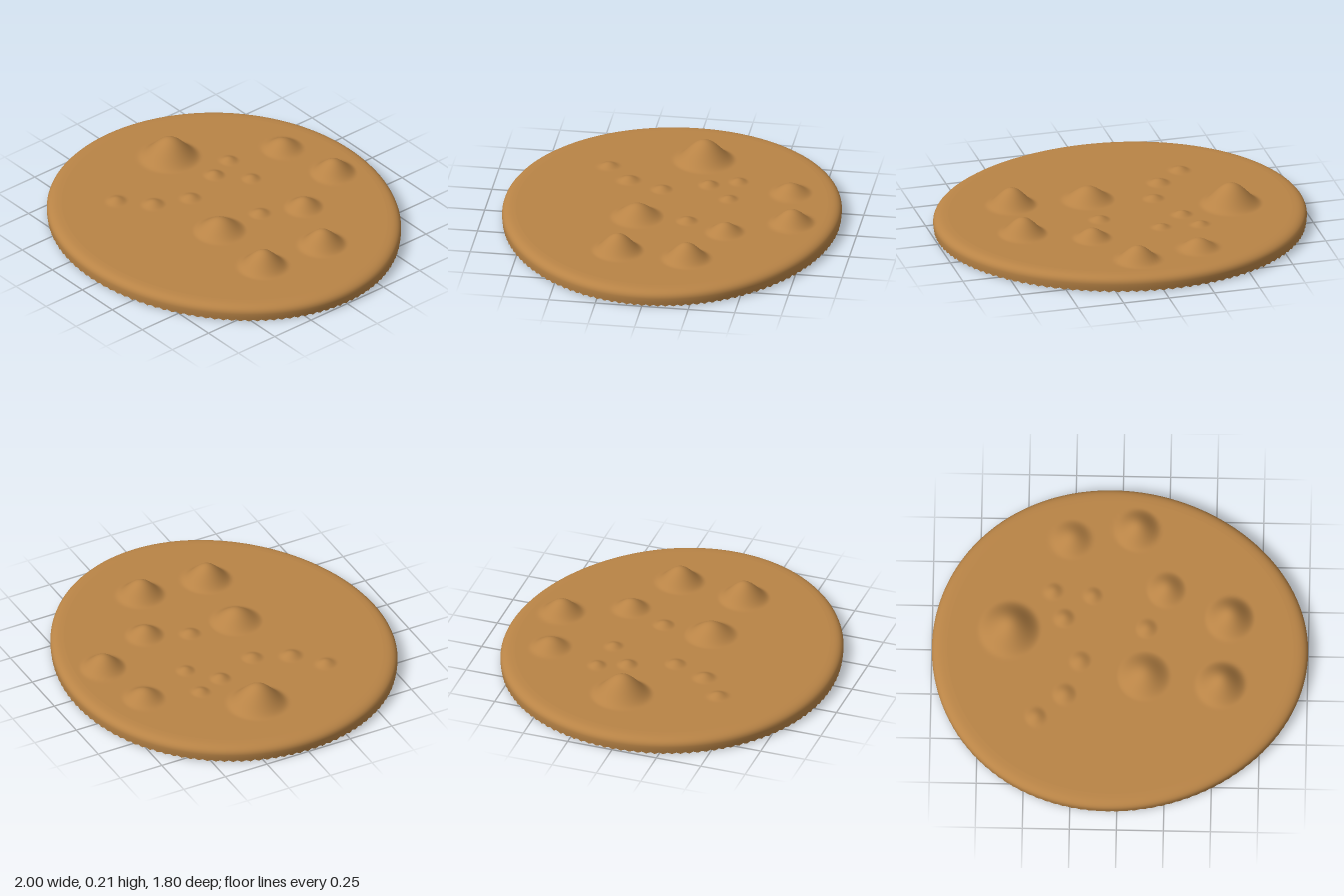
import * as THREE from 'three';

const SEGMENTS = 256;
const TOP_Y = 0.09;

// Mounds on the top: x, z, radius, height
const MOUNDS = [
  [-0.59, -0.09, 0.17, 0.118],
  [-0.27, -0.605, 0.118, 0.055],
  [0.08, -0.665, 0.128, 0.079],
  [0.24, -0.33, 0.108, 0.055],
  [0.58, -0.175, 0.135, 0.091],
  [0.54, 0.2, 0.14, 0.098],
  [0.13, 0.16, 0.146, 0.075],
  [-0.36, -0.31, 0.055, 0.019],
  [-0.15, -0.29, 0.055, 0.018],
  [-0.3, -0.16, 0.06, 0.022],
  [0.14, -0.11, 0.062, 0.02],
  [-0.21, 0.08, 0.062, 0.019],
  [-0.29, 0.27, 0.068, 0.023],
  [-0.44, 0.4, 0.062, 0.021],
];

function topHeight(x, z) {
  let y = TOP_Y;
  for (const [mx, mz, r, h] of MOUNDS) {
    const t = ((x - mx) ** 2 + (z - mz) ** 2) / (r * r);
    if (t < 1) y += h * (1 - t) ** 2;
  }
  return y;
}

// Slightly egg-shaped outline, narrower toward +x
function outline(angle, s) {
  const c = Math.cos(angle);
  return [s * c, s * 0.9 * Math.sin(angle) * (1 - 0.05 * s * c)];
}

// Closed rings of points joined into one smooth surface, from the inside out and down
function ringSurface(rows, pointAt) {
  const positions = [];
  const index = [];
  for (let i = 0; i < rows; i++) {
    for (let j = 0; j < SEGMENTS; j++) {
      positions.push(...pointAt(i, j, (j / SEGMENTS) * Math.PI * 2));
    }
  }
  for (let i = 0; i < rows - 1; i++) {
    for (let j = 0; j < SEGMENTS; j++) {
      const k = (j + 1) % SEGMENTS;
      const a = i * SEGMENTS + j;
      const b = i * SEGMENTS + k;
      const c = a + SEGMENTS;
      const d = b + SEGMENTS;
      if (i > 0) index.push(a, b, c);
      index.push(b, d, c);
    }
  }
  const geometry = new THREE.BufferGeometry();
  geometry.setAttribute('position', new THREE.Float32BufferAttribute(positions, 3));
  geometry.setIndex(index);
  geometry.computeVertexNormals();
  return geometry;
}

export function createModel() {
  const group = new THREE.Group();
  group.name = 'moundedDisc';

  const crust = new THREE.MeshStandardMaterial({ color: 0xb98446, side: THREE.DoubleSide });
  crust.name = 'golden brown crust';

  // Flat top pushed up into mounds, hollow underneath
  const topRows = 100;
  const top = new THREE.Mesh(
    ringSurface(topRows, (i, j, angle) => {
      const [x, z] = outline(angle, (0.92 * i) / (topRows - 1));
      return [x, topHeight(x, z), z];
    }),
    crust
  );
  top.name = 'moundedTop';
  group.add(top);

  // Rounded edge and side wall with a finely toothed open bottom
  const rimProfile = [
    [0.92, TOP_Y], [0.94, 0.089], [0.955, 0.087], [0.968, 0.084], [0.979, 0.079],
    [0.988, 0.073], [0.995, 0.065], [0.999, 0.055], [1, 0.045], [0.999, 0.03],
    [0.997, 0.018], [0.995, 0],
  ];
  const last = rimProfile.length - 1;
  const rim = new THREE.Mesh(
    ringSurface(rimProfile.length, (i, j, angle) => {
      const [s, y] = rimProfile[i];
      const [x, z] = outline(angle, s);
      return [x, i === last && j % 2 ? 0.01 : y, z];
    }),
    crust
  );
  // The first band of the rim closes completely against the top
  const first = [];
  for (let j = 0; j < SEGMENTS; j++) {
    const k = (j + 1) % SEGMENTS;
    first.push(j, k, j + SEGMENTS);
  }
  rim.geometry.setIndex([...first, ...rim.geometry.index.array]);
  rim.geometry.computeVertexNormals();
  rim.name = 'roundedRim';
  group.add(rim);

  return group;
}
